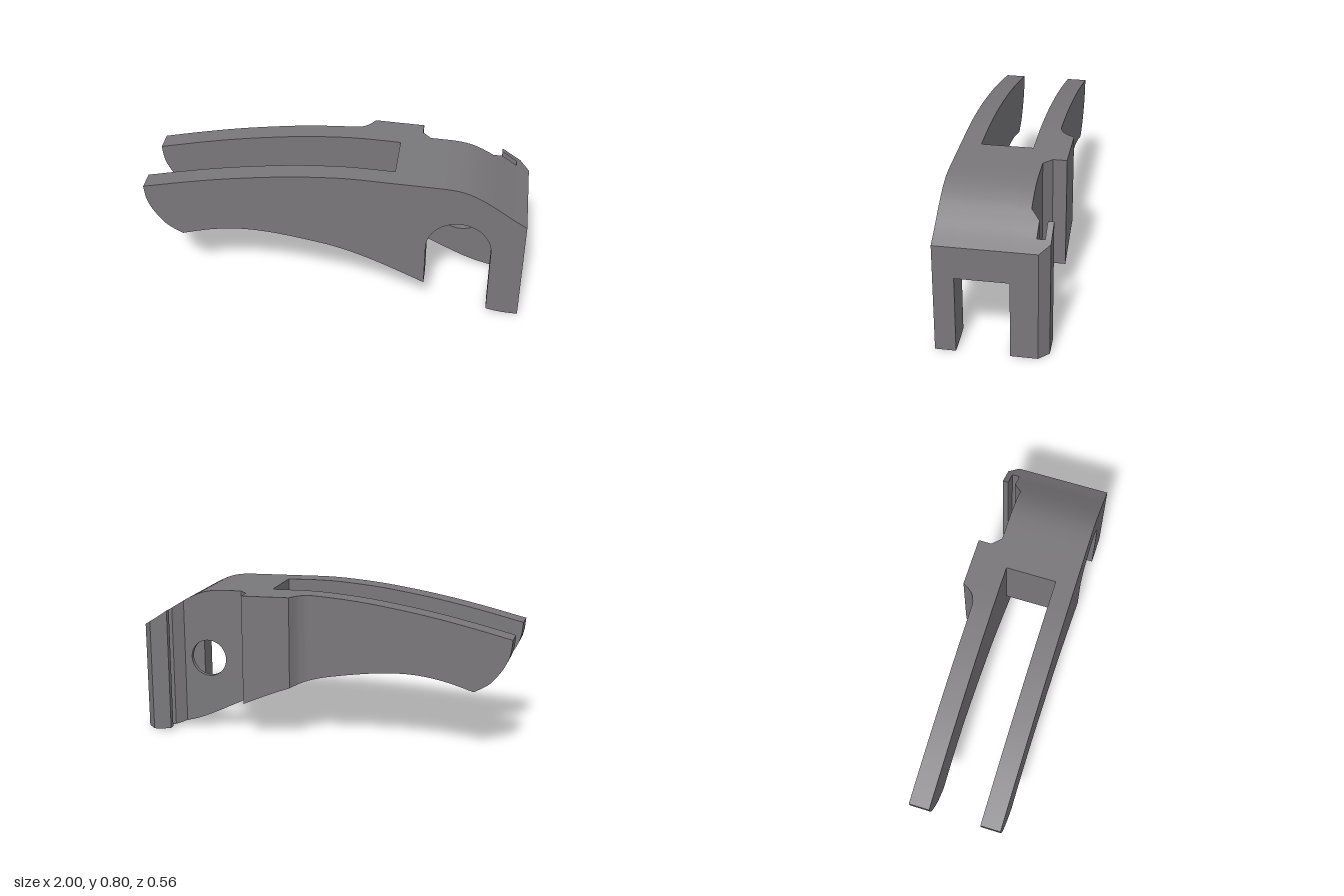
import * as THREE from 'three';
import { toCreasedNormals } from 'three/addons/utils/BufferGeometryUtils.js';

const spline = (pts, n) =>
  new THREE.SplineCurve(pts.map(([x, y]) => new THREE.Vector2(x, y))).getPoints(n);

// Side profile of the lever: crown, rounded nose, underside
const crown = spline([[-1, 0.64], [-0.8, 0.685], [-0.6, 0.725], [-0.4, 0.757], [-0.2, 0.782], [0, 0.796],
  [0.13, 0.798], [0.3, 0.793], [0.5, 0.787], [0.61, 0.782], [0.69, 0.766], [0.77, 0.73], [0.85, 0.68],
  [0.93, 0.626], [1, 0.583]], 84);
const nose = spline([[-1, 0.64], [-0.99, 0.56], [-0.96, 0.49], [-0.91, 0.42], [-0.87, 0.385], [-0.81, 0.35]], 20);
const belly = spline([[-0.81, 0.35], [-0.7, 0.382], [-0.6, 0.403], [-0.5, 0.414], [-0.4, 0.414], [-0.3, 0.406],
  [-0.2, 0.392], [-0.1, 0.375], [0, 0.355], [0.1, 0.326], [0.2, 0.29], [0.3, 0.248], [0.4, 0.203], [0.5, 0.156],
  [0.61, 0.101], [0.72, 0.052], [0.83, 0.019], [0.91, 0.004], [1, 0]], 90);
const underside = [...nose, ...belly.slice(1)];

const PIVOT = { x: 0.66, y: 0.4, arch: 0.17, bore: 0.145, hole: 0.1 };
const IN_FRONT = 0.175, IN_BACK = -0.093, FRONT = 0.28, RECESS = -0.165, BORE_END = -0.14;

// Linear lookup on a list of points sorted by x
function at(pts, x) {
  let i = 1;
  while (i < pts.length - 1 && pts[i].x < x) i++;
  const a = pts[i - 1], b = pts[i];
  return b.x === a.x ? b.y : a.y + (b.y - a.y) * (x - a.x) / (b.x - a.x);
}

// Part of a curve between two x positions
const span = (pts, x0, x1) => [
  new THREE.Vector2(x0, at(pts, x0)),
  ...pts.filter(p => p.x > x0 + 1e-4 && p.x < x1 - 1e-4),
  new THREE.Vector2(x1, at(pts, x1)),
];

// Arch over the pivot, running from left to right
function arch(start) {
  const pts = [];
  for (let i = 0; i <= 32; i++) {
    const a = Math.PI - start - (Math.PI - 2 * start) * i / 32;
    pts.push(new THREE.Vector2(PIVOT.x + PIVOT.arch * Math.cos(a), PIVOT.y + PIVOT.arch * Math.sin(a)));
  }
  return pts;
}

// Upright plate between two z positions
function plate(points, z0, z1, holeRadius) {
  const shape = new THREE.Shape(points);
  if (holeRadius) {
    const hole = new THREE.Path();
    hole.absarc(PIVOT.x, PIVOT.y, holeRadius, 0, Math.PI * 2, true);
    shape.holes.push(hole);
  }
  const g = new THREE.ExtrudeGeometry(shape, { depth: z1 - z0, bevelEnabled: false, curveSegments: 24 });
  return g.translate(0, 0, z0);
}

// Strip that follows the side profile; keys are [x, back z]
function strip(keys, zFront) {
  const xs = [...crown, ...underside].map(p => p.x).sort((a, b) => a - b);
  const sections = [];
  const add = (x, z) => {
    const t = at(crown, x), b = at(underside, x);
    sections.push([[x, b, z], [x, b, zFront], [x, t, zFront], [x, t, z]]);
  };
  keys.forEach(([x, z], i) => {
    add(x, z);
    const next = keys[i + 1];
    if (!next) return;
    for (const m of xs) {
      if (m > x + 1e-3 && m < next[0] - 1e-3) add(m, z + (next[1] - z) * (m - x) / (next[0] - x));
    }
  });
  const pos = [];
  const tri = (...c) => c.forEach(p => pos.push(...p));
  for (let i = 0; i < sections.length - 1; i++) {
    const a = sections[i], b = sections[i + 1];
    for (let j = 0; j < 4; j++) {
      const k = (j + 1) % 4;
      tri(a[j], b[j], b[k]);
      tri(a[j], b[k], a[k]);
    }
  }
  const s = sections[0], e = sections[sections.length - 1];
  tri(s[0], s[1], s[2]); tri(s[0], s[2], s[3]);
  tri(e[0], e[2], e[1]); tri(e[0], e[3], e[2]);
  const g = new THREE.BufferGeometry();
  g.setAttribute('position', new THREE.Float32BufferAttribute(pos, 3));
  return g;
}

export function createModel() {
  const group = new THREE.Group();
  const material = new THREE.MeshStandardMaterial({ color: 0x79777a });
  const add = (name, geometry) => {
    const mesh = new THREE.Mesh(toCreasedNormals(geometry, 0.5), material);
    mesh.name = name;
    group.add(mesh);
  };
  const roof = crown.slice(1).reverse();
  const left = PIVOT.x - PIVOT.arch, right = PIVOT.x + PIVOT.arch;

  // Front cheek with an arch open at the bottom
  add('frontCheek', plate([
    ...span(underside, -1, left), ...arch(0), ...span(underside, right, 1), ...roof,
  ], IN_FRONT, FRONT));

  // Bridge over the tunnel, closing the end of the long slot
  const ceiling = 0.413;
  add('bridge', plate([
    new THREE.Vector2(0.31, ceiling),
    ...arch(Math.asin((ceiling - PIVOT.y) / PIVOT.arch)),
    new THREE.Vector2(1, ceiling),
    ...span(crown, 0.31, 1).reverse(),
  ], IN_BACK, IN_FRONT));

  // Back cheek with a counterbored pivot hole
  const full = [...underside, ...roof];
  add('backCheekInner', plate(full, BORE_END, IN_BACK, PIVOT.bore));
  add('backCheekOuter', plate(full, RECESS, BORE_END, PIVOT.hole));

  // Back rail sweeping out into the raised boss
  add('backRailAndBoss', strip([[-1, -0.2], [0.05, -0.2], [0.075, -0.203], [0.1, -0.212], [0.122, -0.228],
    [0.14, -0.25], [0.157, -0.28], [0.42, -0.28], [0.42, -0.21], [0.465, RECESS]], RECESS));

  // Hooked jaw at the thick end
  add('jawBase', strip([[0.8, RECESS], [0.85, -0.21], [1, -0.21]], RECESS));
  add('jawWeb', strip([[0.93, -0.25], [0.98, -0.25], [1, -0.23]], -0.21));
  add('jawLip', strip([[0.85, -0.28], [0.95, -0.28], [0.98, -0.25]], -0.25));

  return group;
}
